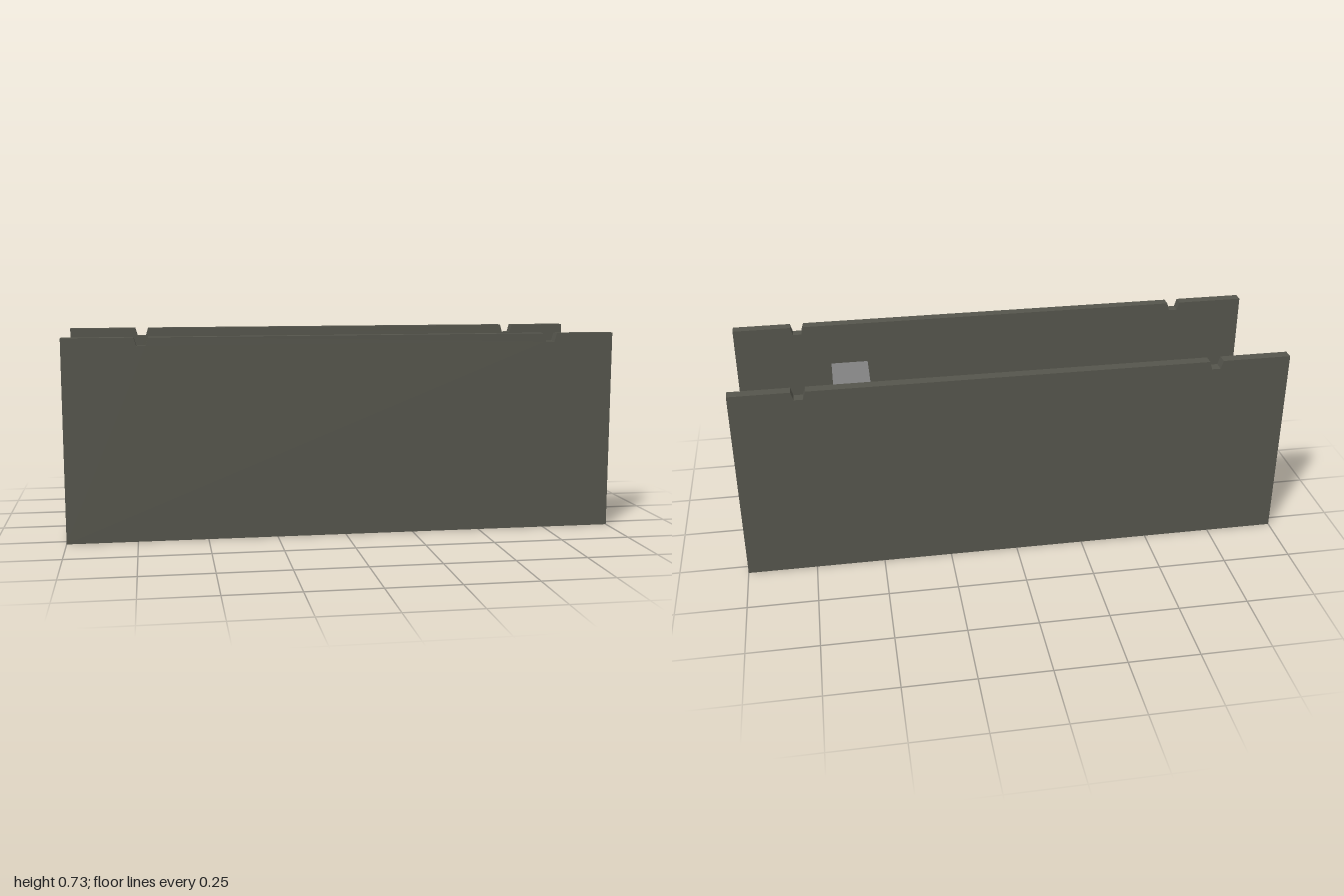
import * as THREE from 'three';

const HEIGHT = 0.727;
const INNER = 0.253; // half width between the walls
const WALL = 0.039;

const mat = (name, color) => {
  const m = new THREE.MeshStandardMaterial({ color });
  m.name = name;
  return m;
};

// Extrude an x/y outline along z, starting at z0
function slab(name, points, z0, depth, material) {
  const shape = new THREE.Shape(points.map(([x, y]) => new THREE.Vector2(x, y)));
  const geo = new THREE.ExtrudeGeometry(shape, { depth, bevelEnabled: false });
  geo.translate(0, 0, z0);
  const mesh = new THREE.Mesh(geo, material);
  mesh.name = name;
  return mesh;
}

function plate(name, x0, x1, z0, z1, y, material) {
  const mesh = new THREE.Mesh(new THREE.BoxGeometry(x1 - x0, 0.004, z1 - z0), material);
  mesh.position.set((x0 + x1) / 2, y, (z0 + z1) / 2);
  mesh.name = name;
  return mesh;
}

export function createModel() {
  const group = new THREE.Group();
  group.name = 'walledStairway';
  const wallGrey = mat('olive grey', 0x55554c);
  const stairGrey = mat('mid grey', 0x808080);
  const black = mat('black', 0x0a0a0a);

  // Side walls with two tapered notches in the top edge
  const wall = [[-1, 0], [1, 0], [1, HEIGHT]];
  for (const c of [0.761, -0.725]) {
    wall.push([c + 0.025, HEIGHT], [c + 0.016, HEIGHT - 0.03],
      [c - 0.016, HEIGHT - 0.03], [c - 0.025, HEIGHT]);
  }
  wall.push([-1, HEIGHT]);
  group.add(slab('frontWall', wall, INNER, WALL, wallGrey));
  group.add(slab('backWall', wall, -INNER - WALL, WALL, wallGrey));

  // Floor and five steps over a sloping underside
  const steps = 5, run = 0.125, rise = 0.1132, floorY = 0.015, base = 0.002;
  const top = steps * rise;
  const stairs = [[-1, base], [0, base], [0.64, top]];
  for (let k = steps - 1; k >= 0; k--) {
    stairs.push([k * run, (k + 1) * rise], [k * run, k ? k * rise : floorY]);
  }
  stairs.push([-1, floorY]);
  group.add(slab('floorAndStairs', stairs, -INNER, INNER * 2, stairGrey));

  // Dark panels beside the back wall, above and below the floor
  group.add(plate('floorPanel', -0.16, 0, -INNER, -0.12, floorY, black));
  group.add(plate('undersidePanel', -0.77, 0, -INNER, -0.157, base, black));

  return group;
}
